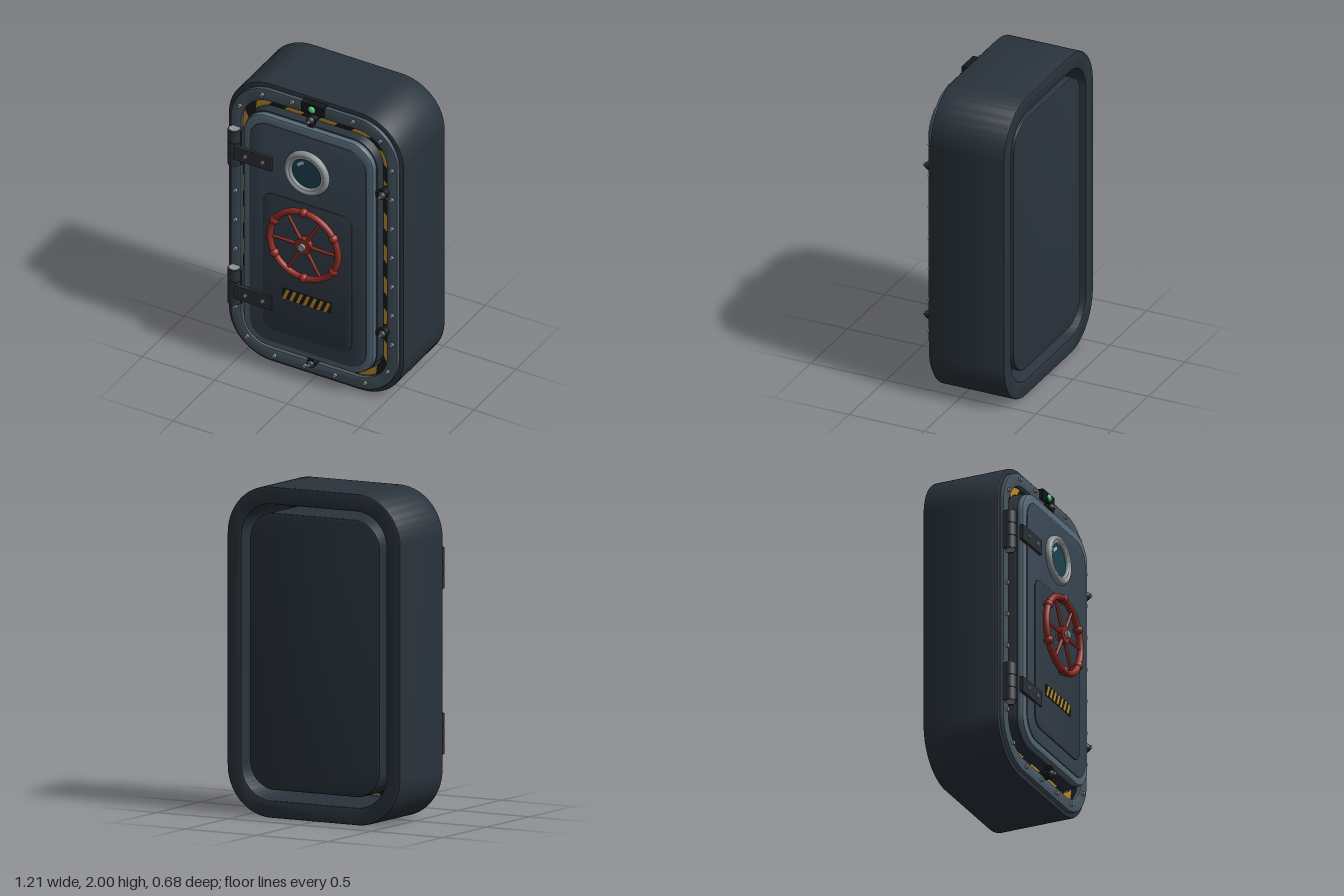
import * as THREE from 'three';
import { toCreasedNormals } from 'three/addons/utils/BufferGeometryUtils.js';

const mat = (color, side = THREE.FrontSide) => new THREE.MeshStandardMaterial({ color, side });
const M = {
  body: mat(0x2a333c), flange: mat(0x475560), rim: mat(0x566a77), face: mat(0x384552),
  pad: mat(0x2f3943), dark: mat(0x15191c), iron: mat(0x2b3036), steel: mat(0x8d9499),
  red: mat(0x8c2c23), yellow: mat(0xb8892a, THREE.DoubleSide), black: mat(0x17191a, THREE.DoubleSide),
  glass: mat(0x1c414d), glint: mat(0xa9bcc4), green: mat(0x4fd884),
};

// Rounded rectangle, half width w, from y0 to y1, counter-clockwise from the bottom edge
function rounded(w, y0, y1, r, P = THREE.Shape) {
  const s = new P();
  s.moveTo(-w + r, y0);
  s.lineTo(w - r, y0);
  s.absarc(w - r, y0 + r, r, -Math.PI / 2, 0);
  s.absarc(w - r, y1 - r, r, 0, Math.PI / 2);
  s.absarc(-w + r, y1 - r, r, Math.PI / 2, Math.PI);
  s.absarc(-w + r, y0 + r, r, Math.PI, Math.PI * 1.5);
  return s;
}

// Plate between z0 and z1 with a bevel b inside the outline
function plate(shape, z0, z1, b) {
  const g = new THREE.ExtrudeGeometry(shape, {
    depth: z1 - z0 - 2 * b, bevelEnabled: b > 0, bevelSize: b, bevelThickness: b,
    bevelOffset: -b, bevelSegments: 2, curveSegments: 16,
  });
  g.translate(0, 0, z0 + b);
  return toCreasedNormals(g, 0.4);
}

function ring(outer, inner, z0, z1, b) {
  const s = rounded(...outer);
  s.holes.push(rounded(...inner, THREE.Path));
  return plate(s, z0, z1, b);
}

// Cylinder along z
const rod = (r, z0, z1, n = 20) =>
  new THREE.CylinderGeometry(r, r, z1 - z0, n).rotateX(Math.PI / 2).translate(0, 0, (z0 + z1) / 2);

const box = (w, h, z0, z1) => new THREE.BoxGeometry(w, h, z1 - z0).translate(0, 0, (z0 + z1) / 2);

function add(parent, name, geo, material, x = 0, y = 0, z = 0) {
  const m = new THREE.Mesh(geo, material);
  m.name = name;
  m.position.set(x, y, z);
  parent.add(m);
  return m;
}

function group(parent, name, x = 0, y = 0, z = 0) {
  const g = new THREE.Group();
  g.name = name;
  g.position.set(x, y, z);
  parent.add(g);
  return g;
}

// Slanted two-colour stripes following a rounded rectangle
function hazardBand(parent, half, z) {
  const pairs = 22, sub = 7, n = pairs * 2 * sub;
  const pts = rounded(0.486, 0.133, 1.867, 0.2).getSpacedPoints(n).slice(0, n);
  const at = (i, d) => {
    const p = pts[i % n], a = pts[(i + n - 1) % n], b = pts[(i + 1) % n];
    const t = b.clone().sub(a).normalize();
    return [p.x + t.y * d, p.y - t.x * d, z];
  };
  const verts = [[], []];
  for (let i = 0; i < n; i++) {
    const skew = 3;
    const o0 = at(i, half), o1 = at(i + 1, half);
    const i0 = at(i + skew, -half), i1 = at(i + 1 + skew, -half);
    verts[Math.floor(i / sub) % 2].push(...o0, ...o1, ...i1, ...o0, ...i1, ...i0);
  }
  verts.forEach((v, k) => {
    const g = new THREE.BufferGeometry();
    g.setAttribute('position', new THREE.Float32BufferAttribute(v, 3));
    g.computeVertexNormals();
    add(parent, k ? 'hazardBandYellow' : 'hazardBandBlack', g, k ? M.yellow : M.black);
  });
}

function buildFrame(root) {
  const f = group(root, 'frame');
  add(f, 'frameBody', ring([0.605, 0, 2, 0.3], [0.505, 0.105, 1.895, 0.21], -0.34, 0.155, 0.01), M.body);
  add(f, 'frameFlange', ring([0.575, 0.03, 1.97, 0.275], [0.503, 0.11, 1.89, 0.21], 0.15, 0.18, 0.006), M.flange);
  hazardBand(f, 0.023, 0.15);
  // Flange bolts
  const bolt = rod(0.013, 0.175, 0.196, 12);
  rounded(0.54, 0.07, 1.94, 0.27).getSpacedPoints(26).slice(0, 26)
    .forEach((p) => add(f, 'flangeBolt', bolt, M.steel, p.x, p.y));
  // Status lamp
  add(f, 'lampHousing', box(0.155, 0.066, 0.155, 0.203), M.dark, 0, 1.948);
  add(f, 'lampBezel', rod(0.028, 0.2, 0.207), M.iron, 0, 1.948);
  add(f, 'lamp', new THREE.SphereGeometry(0.024, 20, 12).scale(1, 1, 0.6), M.green, 0, 1.948, 0.206);
}

function buildDoor(root) {
  const d = group(root, 'door');
  add(d, 'doorSlab', plate(rounded(0.456, 0.168, 1.842, 0.17), -0.33, 0.21, 0.012), M.body);
  add(d, 'doorRim', plate(rounded(0.45, 0.175, 1.835, 0.165), 0.2, 0.25, 0.018), M.rim);
  add(d, 'doorFace', plate(rounded(0.402, 0.22, 1.78, 0.13), 0.24, 0.256, 0.006), M.face);
  add(d, 'wheelPad', plate(rounded(0.307, 0.315, 1.295, 0.075), 0.25, 0.262, 0.004), M.pad);

  // Porthole
  const port = group(d, 'porthole', 0, 1.525, 0);
  const profile = [[0.152, 0.25], [0.152, 0.272], [0.146, 0.284], [0.134, 0.29], [0.124, 0.286],
    [0.12, 0.278], [0.114, 0.284], [0.106, 0.282], [0.102, 0.274], [0.102, 0.25]];
  const lathe = new THREE.LatheGeometry(profile.map((p) => new THREE.Vector2(...p)), 48);
  add(port, 'portholeRing', lathe.rotateX(Math.PI / 2), M.steel);
  add(port, 'portholeGlass', rod(0.104, 0.25, 0.266, 40), M.glass);
  add(port, 'glassGlint', new THREE.RingGeometry(0.062, 0.082, 16, 1, 1.85, 0.75), M.glint, 0, 0, 0.2675);

  // Striped plate
  const s = group(d, 'hazardPlate', 0, 0.605, 0);
  add(s, 'hazardPlateBase', box(0.34, 0.075, 0.26, 0.266), M.black);
  for (let i = 0; i < 7; i++) {
    const x = -0.168 + i * 0.047, h = 0.036;
    const stripe = new THREE.Shape([[x, -h], [x + 0.022, -h], [x + 0.052, h], [x + 0.03, h]]
      .map((p) => new THREE.Vector2(...p)));
    add(s, 'hazardStripe', new THREE.ShapeGeometry(stripe), M.yellow, 0, 0, 0.268);
  }
}

function buildWheel(root) {
  const w = group(root, 'handWheel', 0, 1.025, 0.3);
  add(w, 'wheelRim', new THREE.TorusGeometry(0.235, 0.021, 14, 64), M.red);
  const spoke = new THREE.CylinderGeometry(0.009, 0.012, 0.2, 10).translate(0, 0.135, 0);
  const sleeve = new THREE.SphereGeometry(0.03, 18, 14);
  for (let i = 0; i < 6; i++) {
    const a = (i * Math.PI) / 3;
    add(w, 'spoke', spoke, M.red).rotation.z = a + Math.PI / 2;
    const k = a + Math.PI / 6;
    add(w, 'gripKnob', sleeve, M.red, 0.235 * Math.cos(k), 0.235 * Math.sin(k));
  }
  add(w, 'hub', rod(0.054, -0.02, 0.018, 32), M.red);
  add(w, 'shaft', rod(0.03, -0.05, -0.01), M.steel);
  add(w, 'hubNut', rod(0.026, 0.01, 0.04, 6), M.steel);
}

function buildHinge(root, y) {
  const h = group(root, 'hinge', 0, y, 0);
  add(h, 'hingeBase', box(0.09, 0.245, 0.155, 0.205), M.iron, -0.53);
  // Barrel knuckles on a pin
  for (const k of [-1, 0, 1]) {
    add(h, 'hingeKnuckle', new THREE.CylinderGeometry(0.041, 0.041, 0.08, 24), M.iron, -0.535, k * 0.083, 0.204);
  }
  add(h, 'hingePin', new THREE.CylinderGeometry(0.033, 0.033, 0.256, 24), M.steel, -0.535, 0, 0.204);
  add(h, 'hingeArm', box(0.26, 0.096, 0.25, 0.273), M.iron, -0.372);
  for (const x of [-0.42, -0.3]) add(h, 'hingeBolt', rod(0.013, 0.27, 0.282, 12), M.steel, x);
}

// Clamp lever whose arm points along local -y, toward the door
function buildClamp(root, x, y, turn) {
  const c = group(root, 'clamp', x, y, 0);
  c.rotation.z = turn;
  add(c, 'clampPivot', rod(0.03, 0.15, 0.215), M.dark);
  add(c, 'clampArm', box(0.034, 0.075, 0.185, 0.225), M.dark, 0, -0.025);
  add(c, 'clampKnob', new THREE.SphereGeometry(0.026, 16, 12), M.iron, 0, 0, 0.218);
  add(c, 'clampNut', rod(0.012, 0.235, 0.25, 6), M.steel);
}

export function createModel() {
  const root = new THREE.Group();
  root.name = 'hatch';
  buildFrame(root);
  buildDoor(root);
  buildWheel(root);
  for (const y of [1.507, 0.505]) buildHinge(root, y);
  buildClamp(root, 0, 1.88, 0);
  buildClamp(root, 0, 0.125, Math.PI);
  for (const y of [1.505, 0.505]) buildClamp(root, 0.492, y, -Math.PI / 2);
  return root;
}
